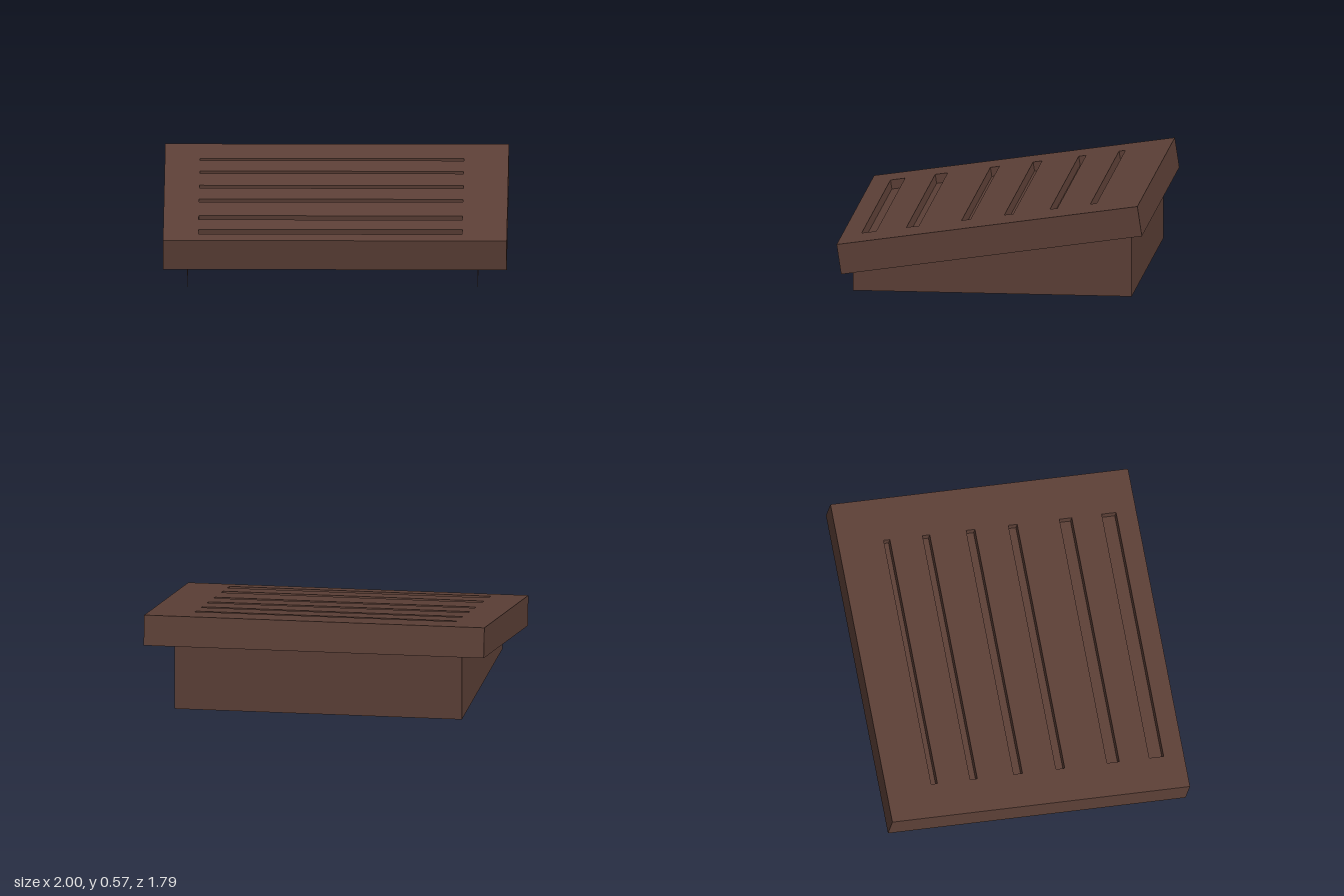
import * as THREE from 'three';

const brown = new THREE.MeshStandardMaterial({ color: 0x5d4037 });
const brownThin = new THREE.MeshStandardMaterial({ color: 0x5d4037, side: THREE.DoubleSide });

// Box without its top face; inward = true turns it into a recess seen from inside
function openBox(w, h, d, inward) {
  const box = new THREE.BoxGeometry(w, h, d);
  const index = Array.from(box.index.array);
  index.splice(12, 6);
  if (inward) index.reverse();
  box.setIndex(index);
  const geometry = box.toNonIndexed();
  geometry.computeVertexNormals();
  return geometry;
}

function addMesh(parent, name, geometry, material = brown) {
  const mesh = new THREE.Mesh(geometry, material);
  mesh.name = name;
  parent.add(mesh);
  return mesh;
}

function polygon(points) {
  return points.map(([x, y]) => new THREE.Vector2(x, y));
}

function rectangle(x0, x1, y0, y1) {
  return polygon([[x0, y0], [x1, y0], [x1, y1], [x0, y1]]);
}

export function createModel() {
  const model = new THREE.Group();
  model.name = 'slottedRamp';

  // Tilted slab, low at the front
  const length = 1.78, thick = 0.178, tilt = 0.1495, slotDepth = 0.054;
  const slab = new THREE.Group();
  slab.name = 'slab';
  slab.position.y = 0.35;
  slab.rotation.x = tilt;
  model.add(slab);
  addMesh(slab, 'slabBody', openBox(2, thick, length, false));

  // Slots across the top, widening towards the front: [back z, front z]
  const slots = [
    [-0.6, -0.563], [-0.37, -0.327], [-0.112, -0.06],
    [0.138, 0.19], [0.44, 0.513], [0.69, 0.775],
  ].map(pair => pair.map(z => (z - (thick / 2) * Math.sin(tilt)) / Math.cos(tilt)));
  const left = 0.74, right = -0.795;

  const top = new THREE.Shape(rectangle(-1, 1, -length / 2, length / 2));
  slots.forEach(([back, front]) => {
    top.holes.push(new THREE.Path(rectangle(right, left, -front, -back)));
    const slot = addMesh(slab, 'slot', openBox(left - right, slotDepth, front - back, true));
    slot.position.set((left + right) / 2, (thick - slotDepth) / 2, (front + back) / 2);
  });
  const topFace = addMesh(slab, 'slabTop', new THREE.ShapeGeometry(top).rotateX(-Math.PI / 2));
  topFace.position.y = thick / 2;

  // Thin wedge-shaped base, open at the front and below
  const base = new THREE.Group();
  base.name = 'base';
  model.add(base);
  const xMin = -0.86, xMax = 0.83, zEnd = 0.815;
  const underside = z => 0.26 - z * Math.tan(tilt);

  const side = new THREE.Shape(polygon([
    [-zEnd, 0], [zEnd, 0], [zEnd, underside(-zEnd)], [-zEnd, underside(zEnd)],
  ]));
  for (const [name, x] of [['leftPanel', xMax], ['rightPanel', xMin]]) {
    const panel = addMesh(base, name, new THREE.ShapeGeometry(side).rotateY(Math.PI / 2), brownThin);
    panel.position.x = x;
  }
  const backHeight = underside(-zEnd);
  const back = addMesh(base, 'backPanel',
    new THREE.PlaneGeometry(xMax - xMin, backHeight).rotateY(Math.PI), brownThin);
  back.position.set((xMin + xMax) / 2, backHeight / 2, -zEnd);

  return model;
}
